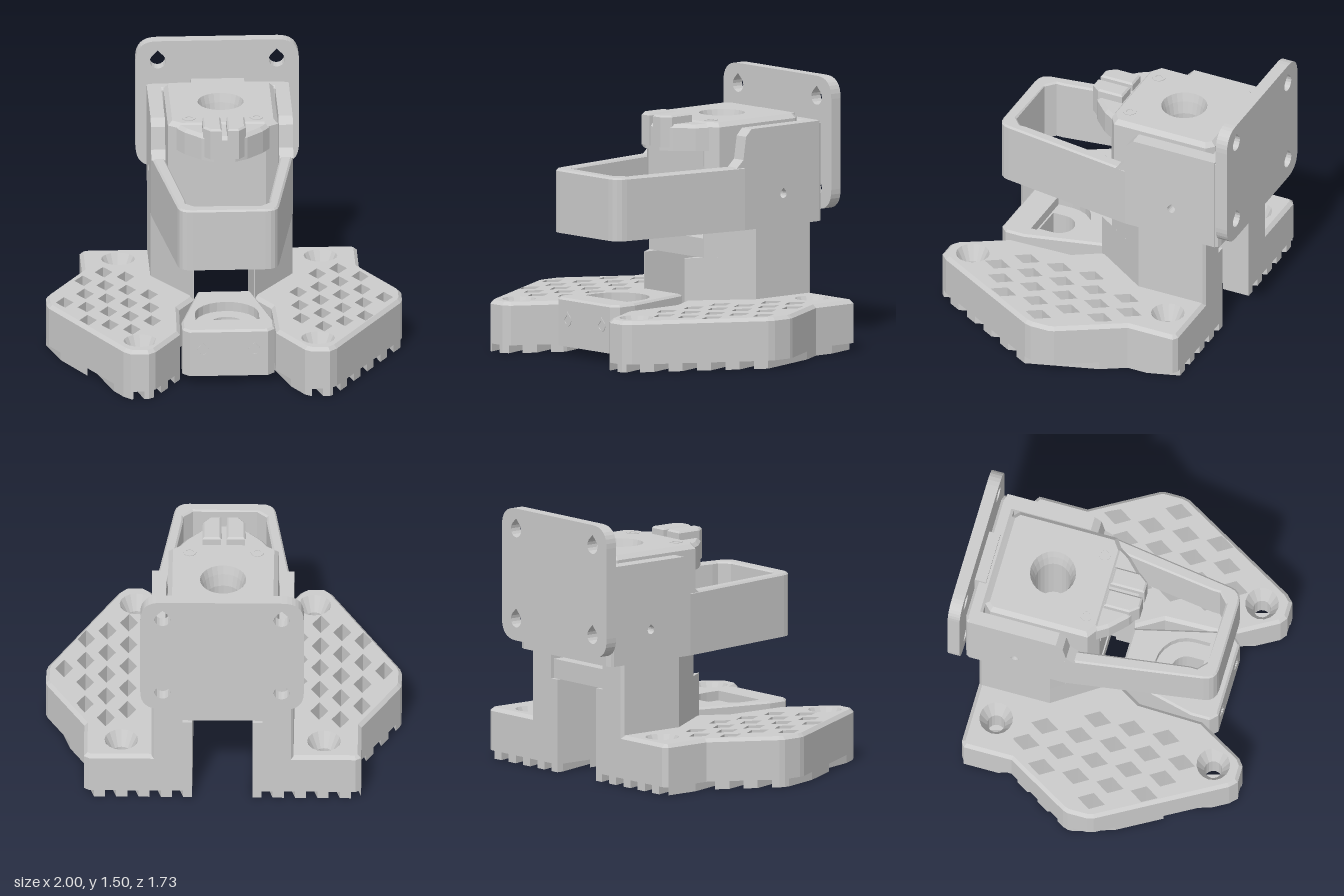
import * as THREE from 'three';

const mat = new THREE.MeshStandardMaterial({ color: 0xcccccc, side: THREE.DoubleSide, flatShading: true });
const V = (x, y) => new THREE.Vector2(x, y);
const mirror = (pts, s) => pts.map(([x, z]) => [x * s, z]);
// closed outline from its right half, listed from back to front
const both = (half) => [...half, ...mirror(half, -1).reverse()];

// round every corner of a polygon by radius r
function rounded(pts, r, steps = 4) {
  const out = [];
  pts.forEach((p, i) => {
    const c = V(...p), a = V(...pts.at(i - 1)), b = V(...pts[(i + 1) % pts.length]);
    const toward = (q) => c.clone().add(q.clone().sub(c).setLength(Math.min(r, q.distanceTo(c) * 0.45)));
    const curve = new THREE.QuadraticBezierCurve(toward(a), c, toward(b));
    curve.getPoints(steps).forEach((q) => out.push([q.x, q.y]));
  });
  return out;
}

function circle(x, z, r, n = 20) {
  return Array.from({ length: n }, (_, i) => {
    const a = (i / n) * Math.PI * 2;
    return [x + r * Math.cos(a), z + r * Math.sin(a)];
  });
}

// circle with a point on its upper side
function teardrop(x, y, r) {
  const pts = [[x, y + r * 1.41]];
  for (let i = 0; i <= 12; i++) {
    const a = Math.PI * (0.25 - (i / 12) * 1.5);
    pts.push([x + r * Math.cos(a), y + r * Math.sin(a)]);
  }
  return pts;
}

function shapeOf(pts, holes = []) {
  const s = new THREE.Shape(pts.map((p) => V(...p)));
  s.holes = holes.map((h) => new THREE.Path(h.map((p) => V(...p))));
  return s;
}

function add(group, name, geo) {
  const m = new THREE.Mesh(geo, mat);
  m.name = name;
  group.add(m);
  return m;
}

function box(group, name, x0, x1, y0, y1, z0, z1) {
  const m = add(group, name, new THREE.BoxGeometry(x1 - x0, y1 - y0, z1 - z0));
  m.position.set((x0 + x1) / 2, (y0 + y1) / 2, (z0 + z1) / 2);
}

// upright extrusion of an x/z outline, with an optional chamfer on its top outer edge
function plan(group, name, pts, y0, y1, holes = [], chamfer = 0) {
  const flip = (list) => list.map(([x, z]) => [x, -z]);
  const outline = flip(pts);
  const geo = new THREE.ExtrudeGeometry(shapeOf(outline, holes.map(flip)),
    { depth: 1, steps: chamfer ? 2 : 1, bevelEnabled: false });
  const ccw = THREE.ShapeUtils.area(outline.map((p) => V(...p))) > 0 ? 1 : -1;
  const inset = outline.map((p, i) => {
    const c = V(...p);
    const d1 = c.clone().sub(V(...outline.at(i - 1))).normalize();
    const d2 = V(...outline[(i + 1) % outline.length]).sub(c).normalize();
    const n = V(-d1.y - d2.y, d1.x + d2.x).normalize();
    const k = (ccw * chamfer) / Math.max(0.5, n.dot(V(-d1.y, d1.x)));
    return c.addScaledVector(n, k);
  });
  const pos = geo.attributes.position;
  for (let v = 0; v < pos.count; v++) {
    const t = pos.getZ(v), x = pos.getX(v), y = pos.getY(v);
    if (chamfer && t > 0.9) {
      const i = outline.findIndex((p) => Math.hypot(p[0] - x, p[1] - y) < 1e-5);
      if (i >= 0) pos.setXY(v, inset[i].x, inset[i].y);
    }
    pos.setZ(v, t < 0.1 ? y0 : t > 0.9 ? y1 : y1 - chamfer);
  }
  geo.rotateX(-Math.PI / 2);
  geo.computeVertexNormals();
  add(group, name, geo);
}

function inside(x, z, poly) {
  let hit = false;
  poly.forEach(([ax, az], i) => {
    const [bx, bz] = poly.at(i - 1);
    if (az > z !== bz > z && x < ((bx - ax) * (z - az)) / (bz - az) + ax) hit = !hit;
  });
  return hit;
}

// keep the part of a polygon where nx*x + nz*z >= d
function clip(poly, nx, nz, d) {
  const out = [];
  poly.forEach((p, i) => {
    const q = poly[(i + 1) % poly.length];
    const a = nx * p[0] + nz * p[1] - d, b = nx * q[0] + nz * q[1] - d;
    if (a >= 0) out.push(p);
    if (a * b < 0) out.push([p[0] + ((q[0] - p[0]) * a) / (a - b), p[1] + ((q[1] - p[1]) * a) / (a - b)]);
  });
  return out;
}

function addWing(root, side) {
  const g = new THREE.Group();
  g.name = side > 0 ? 'leftWing' : 'rightWing';
  root.add(g);
  const outline = [[0.17, -0.7], [0.75, -0.7], [0.78, -0.68], [0.78, -0.4], [0.99, -0.04], [1, -0.01], [1, 0.1],
    [0.99, 0.14], [0.6, 0.82], [0.56, 0.86], [0.46, 0.86], [0.42, 0.83], [0.27, 0.57], [0.26, 0.2], [0.17, 0.05]];
  const screws = [[0.57, -0.55], [0.5, 0.7]];
  const holes = screws.map(([x, z]) => circle(x, z, 0.095, 16));
  // lattice of diamond openings
  for (let k = 0; k < 5; k++) for (let m = -3; m < 7; m++) {
    const x = 0.42 + 0.12 * k, z = -0.075 * k + 0.2 * m;
    const diamond = (s) => [[x + 0.05 * s, z], [x, z + 0.08 * s], [x - 0.05 * s, z], [x, z - 0.08 * s]];
    const clear = screws.every(([sx, sz]) => Math.hypot(x - sx, z - sz) > 0.165);
    const free = !(x < 0.47 && z < -0.18);
    if (clear && free && diamond(1.15).every((p) => inside(...p, outline))) holes.push(diamond(1));
  }
  plan(g, 'wingPlate', mirror(outline, side), 0.045, 0.29, holes.map((h) => mirror(h, side)), 0.02);
  // tread ribs under the wing, parallel on both sides
  const [nx, nz] = [0.954, -0.3], foot = mirror(outline, side);
  for (let d = -1.56; d < 1.5; d += 0.12) {
    const strip = clip(clip(foot, nx, nz, d), -nx, -nz, -d - 0.06);
    if (strip.length > 2) plan(g, 'treadRib', strip, 0, 0.046);
  }
  // countersunk screw seats
  screws.forEach(([x, z]) => {
    const profile = [V(0.095, 0.29), V(0.05, 0.2), V(0.05, 0.045), V(0.095, 0.045)];
    add(g, 'screwSeat', new THREE.LatheGeometry(profile, 16)).position.set(x * side, 0, z);
  });
  // upright carrying the arm, its outer face slanting in toward the front
  const post = (x0, x1, z1) => mirror([[x0, -0.7], [0.385, -0.7], [0.4, -0.685], [0.4, -0.285], [x1, z1], [x0, z1]], side);
  plan(g, 'upright', post(0.17, 0.175, 0.05), 0.05, 0.53);
  plan(g, 'uprightTop', post(0.225, 0.235, -0.04), 0.53, 0.69);
}

function addFrontBlock(root) {
  const g = new THREE.Group();
  g.name = 'frontBlock';
  root.add(g);
  const outline = both([[0.15, 0.05], [0.26, 0.5], [0.26, 0.61], [0.22, 0.65]]);
  const arch = (r, z1) => [[-r, z1], ...circle(0, 0.4, r, 24).slice(12), [r, 0.4], [r, z1]];
  plan(g, 'blockBody', outline, 0.05, 0.27, [arch(0.09, 0.48)]);
  plan(g, 'blockRim', outline, 0.27, 0.325, [arch(0.18, 0.49)], 0.012);
  for (const s of [-1, 1]) {
    const ring = shapeOf(teardrop(s * 0.145, 0.2, 0.035), [teardrop(s * 0.145, 0.2, 0.02)]);
    add(g, 'boltRing', new THREE.ExtrudeGeometry(ring, { depth: 0.004, bevelEnabled: false })).position.z = 0.65;
  }
}

function addArm(root) {
  const g = new THREE.Group();
  g.name = 'arm';
  root.add(g);
  // tapering front loop
  const corners = [[0.4, -0.2], [0.275, 0.65], [-0.275, 0.65], [-0.4, -0.2]];
  const outer = [corners[0], ...rounded(corners, 0.07).slice(5, 15), corners[3]];
  const inner = both([[0.33, -0.2], [0.235, 0.49], [0.235, 0.53], [0.18, 0.58]]).reverse();
  plan(g, 'frontLoop', [...outer, ...inner], 0.69, 1.05, [], 0.01);
  // tall cheeks with a pin hole
  const cheek = [[-0.76, 0.69], [-0.2, 0.69], [-0.2, 1.045], [-0.14, 1.045], [-0.19, 1.09], [-0.21, 1.22], [-0.25, 1.26], [-0.76, 1.26]];
  for (const s of [-1, 1]) {
    const geo = new THREE.ExtrudeGeometry(shapeOf(cheek, [teardrop(-0.49, 0.87, 0.024)]),
      { depth: 0.08, bevelEnabled: false });
    geo.rotateY(-Math.PI / 2);
    add(g, 'cheek', geo).position.x = s > 0 ? 0.4 : -0.32;
  }
  plan(g, 'backWall', both([[0.36, -0.785], [0.39, -0.775], [0.4, -0.75], [0.4, -0.7]]), 0.69, 1.26, [], 0.015);
}

function addInsert(root) {
  const g = new THREE.Group();
  g.name = 'insert';
  root.add(g);
  const outline = both([[0.27, -0.7], [0.31, -0.66], [0.31, -0.09], [0.24, -0.04]]);
  plan(g, 'insertBody', outline, 0.72, 1.3, [circle(0, -0.38, 0.13, 24)], 0.025);
  // funnel leading to a round passage
  const funnel = [V(0.13, 1.3), V(0.115, 1.25), V(0.1, 1.18), V(0.1, 0.72), V(0.13, 0.72)];
  add(g, 'funnel', new THREE.LatheGeometry(funnel, 24)).position.z = -0.38;
  for (const s of [-1, 1]) {
    plan(g, 'topBoltRing', circle(s * 0.19, -0.13, 0.038, 12), 1.295, 1.303, [circle(s * 0.19, -0.13, 0.02, 12)]);
  }
  // overhanging nose with a slotted catch at the front
  plan(g, 'nose', both([[0.29, -0.1], [0.22, 0.01], [0.13, 0.1], [0.06, 0.14]]), 1.14, 1.29, [], 0.02);
  for (const s of [-1, 1]) plan(g, 'catch', mirror([[0.015, -0.05], [0.12, -0.05], [0.12, 0.1], [0.08, 0.15], [0.015, 0.15]], s), 1.16, 1.34, [], 0.01);
  box(g, 'lip', -0.23, 0.23, 1.05, 1.14, -0.06, -0.035);
}

export function createModel() {
  const root = new THREE.Group();
  root.name = 'mountingBracket';
  addWing(root, 1);
  addWing(root, -1);
  addFrontBlock(root);
  plan(root, 'bridge', both([[0.23, -0.68], [0.23, -0.04]]), 0.53, 0.64, [teardrop(0, -0.38, 0.1)]);
  addArm(root);
  addInsert(root);
  // rear plate and the neck that joins it
  const holes = [];
  for (const x of [-0.335, 0.335]) for (const y of [0.87, 1.385]) holes.push(teardrop(x, y, 0.045));
  const face = rounded([[-0.46, 0.75], [0.46, 0.75], [0.46, 1.505], [-0.46, 1.505]], 0.12, 8);
  add(root, 'rearPlate', new THREE.ExtrudeGeometry(shapeOf(face, holes), { depth: 0.07, bevelEnabled: false })).position.z = -0.865;
  box(root, 'neck', -0.15, 0.15, 0.8, 1.275, -0.81, -0.73);
  return root;
}
